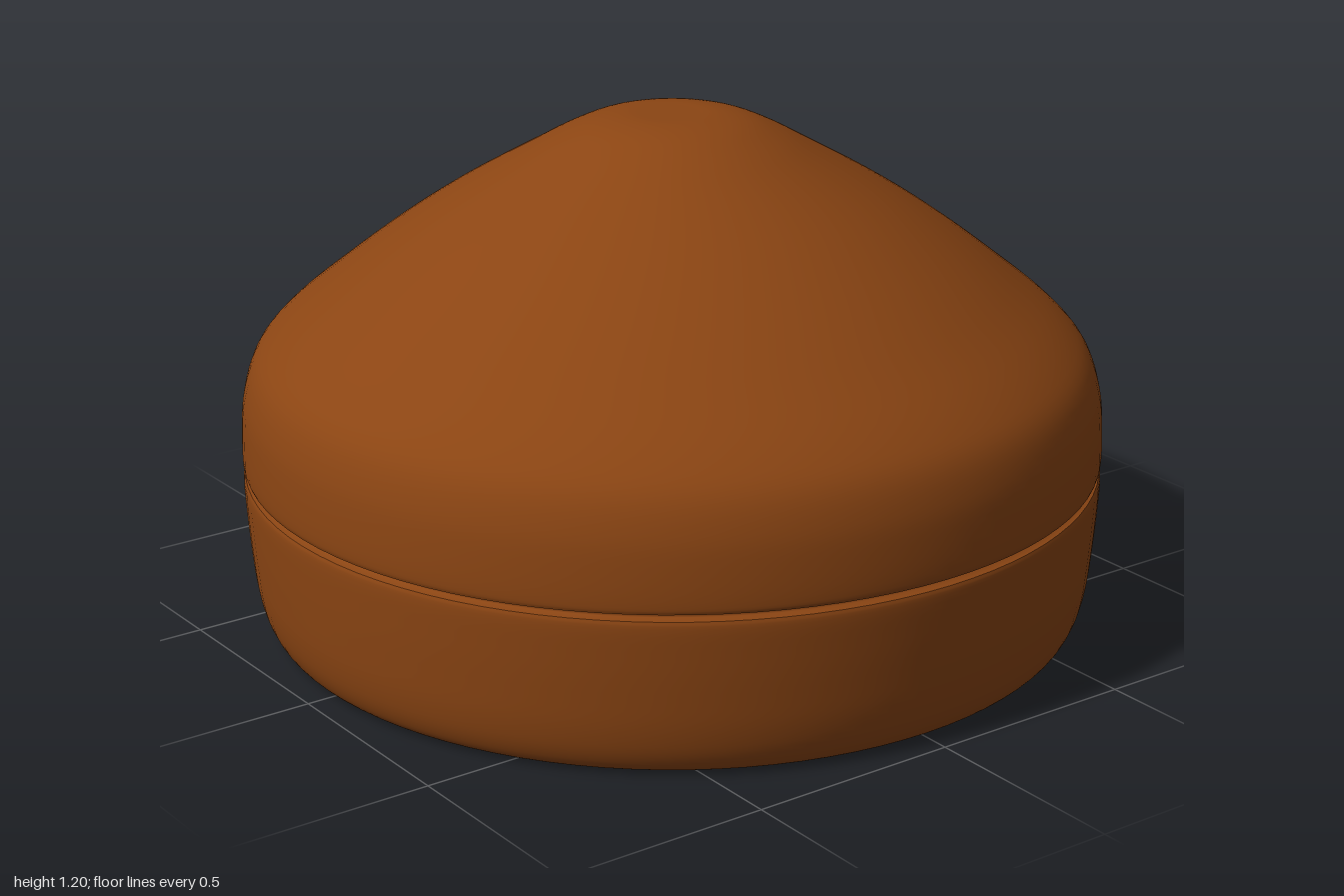
import * as THREE from 'three';

const material = new THREE.MeshStandardMaterial({ color: 0x8b4513, side: THREE.DoubleSide });

const vectors = (points) => points.map(([r, y]) => new THREE.Vector2(r, y));

// Revolves a profile of [radius, height] pairs, listed from bottom to top
function turned(name, profile) {
  const mesh = new THREE.Mesh(new THREE.LatheGeometry(profile, 96), material);
  mesh.name = name;
  return mesh;
}

// Smooth curve through the profile points
const smooth = (points, n) =>
  new THREE.CatmullRomCurve3(points.map(([r, y]) => new THREE.Vector3(r, y, 0)), false, 'centripetal')
    .getPoints(n).map((p) => new THREE.Vector2(p.x, p.y));

export function createModel() {
  const model = new THREE.Group();
  model.name = 'domedCap';

  // Flat lip around the open underside, rounding up into the lower band
  model.add(turned('lowerBand', smooth([
    [0.847, 0], [0.885, 0], [0.92, 0.002], [0.945, 0.015], [0.965, 0.05], [0.98, 0.11],
    [0.99, 0.2], [0.997, 0.29], [1, 0.365], [0.997, 0.376],
  ], 40)));

  // Narrow groove between the two halves
  model.add(turned('seamGroove', vectors([
    [0.997, 0.376], [0.978, 0.379], [0.978, 0.389], [0.997, 0.392],
  ])));

  // Hollow dome with a sloping shoulder and a small flat crown
  model.add(turned('dome', smooth([
    [0.997, 0.392], [1, 0.402], [1, 0.48], [0.992, 0.56], [0.965, 0.64], [0.91, 0.705],
    [0.79, 0.805], [0.66, 0.905], [0.52, 1.0], [0.34, 1.105], [0.25, 1.155],
    [0.18, 1.185], [0.11, 1.199], [0.05, 1.2], [0, 1.2],
  ], 64)));

  return model;
}
